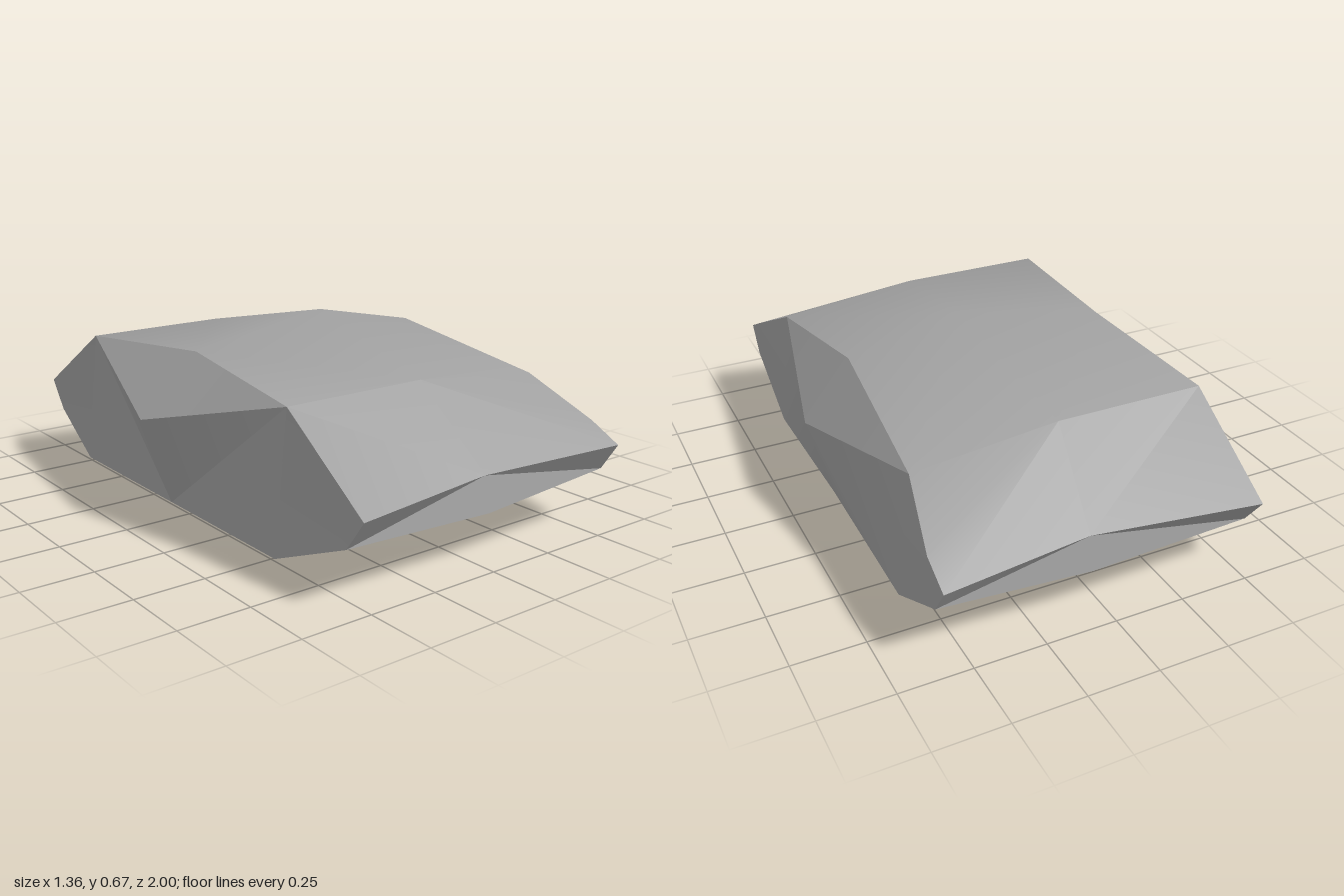
import * as THREE from 'three';
import { toCreasedNormals } from 'three/addons/utils/BufferGeometryUtils.js';

// Corner points of the front half; the back half is its mirror in z.
const P = {
  // middle section
  topL0: [-0.455, 0.585, 0], topM0: [0.085, 0.67, 0], topR0: [0.505, 0.585, 0],
  tipR: [0.677, 0.37, 0], botR0: [0.59, 0.055, 0], botM0: [0.085, 0.0, 0],
  botL0: [-0.57, 0.06, 0], tipL: [-0.68, 0.38, 0],
  // shoulder section
  topL1: [-0.522, 0.54, 0.62], topM1: [0.02, 0.54, 0.62], topR1: [0.54, 0.485, 0.62],
  botR1: [0.59, 0.035, 0.62], botM1: [0.02, 0.035, 0.62], botL1: [-0.57, 0.06, 0.62],
  // end: upper lip, lower lip
  sideR: [0.59, 0.36, 0.87],
  lipL: [-0.533, 0.29, 1.0], lipM: [0.05, 0.28, 0.897], lipR: [0.59, 0.30, 0.987],
  lowL: [-0.533, 0.183, 0.922], lowM: [0.05, 0.16, 0.922], lowR: [0.59, 0.2, 0.922],
};

// Each face is a fan around its first corner, counter-clockwise from outside.
const FACES = [
  // top
  'topL0 topL1 topM1 topM0', 'topM0 topM1 topR1 topR0',
  'topL1 lipL lipM topM1', 'topM1 lipM lipR sideR topR1',
  // right side
  'tipR topR0 topR1', 'tipR topR1 botR1 botR0', 'botR1 topR1 sideR lipR lowR',
  // underside
  'botR0 botR1 botM1 botM0', 'botM0 botM1 botL1 botL0',
  'botR1 lowR lowM botM1', 'botM1 lowM lowL botL1',
  // left side
  'botL0 botL1 topL1 tipL', 'tipL topL1 topL0', 'topL1 botL1 lowL lipL',
  // notched end
  'lipM lipL lowL lowM lowR lipR',
];

function rockGeometry() {
  const positions = [];
  for (const side of [1, -1]) {
    for (const face of FACES) {
      const pts = face.split(' ').map((name) => P[name]);
      for (let i = 1; i < pts.length - 1; i++) {
        const tri = side > 0 ? [pts[0], pts[i], pts[i + 1]] : [pts[0], pts[i + 1], pts[i]];
        for (const [x, y, z] of tri) positions.push(x, y, z * side);
      }
    }
  }
  const geometry = new THREE.BufferGeometry();
  geometry.setAttribute('position', new THREE.Float32BufferAttribute(positions, 3));
  return toCreasedNormals(geometry, THREE.MathUtils.degToRad(30));
}

export function createModel() {
  const stone = new THREE.MeshStandardMaterial({ color: 0xa0a0a0 });
  stone.name = 'grey stone';
  const rock = new THREE.Mesh(rockGeometry(), stone);
  rock.name = 'rock';
  const group = new THREE.Group();
  group.name = 'boulder';
  group.add(rock);
  return group;
}
